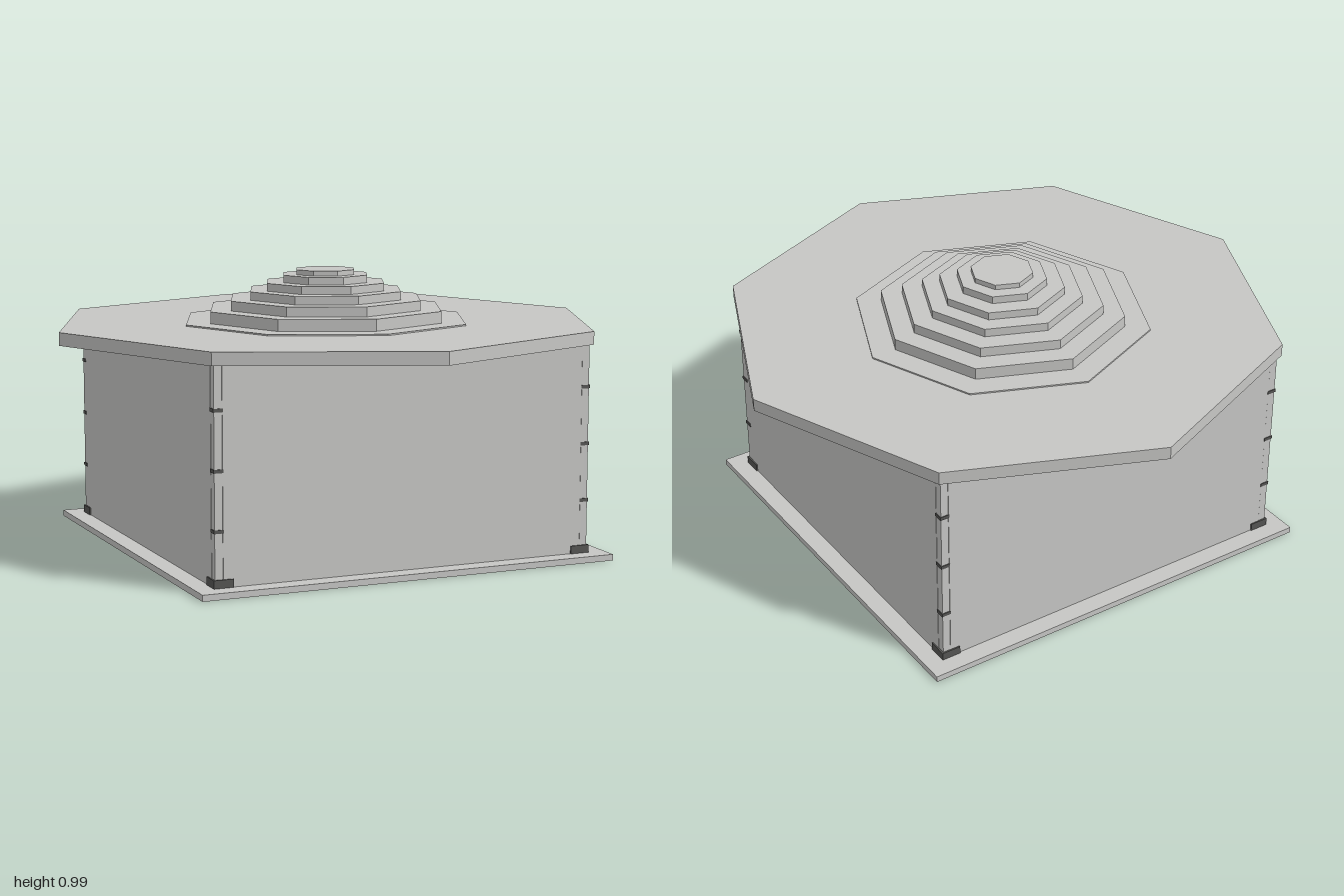
import * as THREE from 'three';

const stone = new THREE.MeshStandardMaterial({ color: 0xc6c6c4 });
stone.name = 'light grey';
stone.flatShading = true;
const iron = new THREE.MeshStandardMaterial({ color: 0x555553 });
iron.name = 'dark grey';

export function createModel() {
  const model = new THREE.Group();
  model.name = 'pavilion';

  const add = (parent, name, geometry, material, x, y, z) => {
    const mesh = new THREE.Mesh(geometry, material);
    mesh.name = name;
    mesh.position.set(x, y, z);
    parent.add(mesh);
    return mesh;
  };
  // box and octagonal slab given by their bottom and top heights
  const box = (parent, name, w, y0, y1, d, material, x = 0, z = 0) =>
    add(parent, name, new THREE.BoxGeometry(w, y1 - y0, d), material, x, (y0 + y1) / 2, z);
  const octagon = (name, radius, y0, y1) =>
    add(model, name, new THREE.CylinderGeometry(radius, radius, y1 - y0, 8), stone, 0, (y0 + y1) / 2, 0);

  // square base plate
  box(model, 'basePlate', 1.53, 0, 0.022, 1.53, stone);

  // walls, leaving a narrow notch at each corner
  box(model, 'sideWalls', 1.394, 0.022, 0.758, 1.334, stone);
  box(model, 'frontAndBackWalls', 1.334, 0.022, 0.758, 1.394, stone);

  // corner posts with clips and feet
  for (const sx of [-1, 1]) {
    for (const sz of [-1, 1]) {
      const corner = new THREE.Group();
      corner.name = 'corner';
      model.add(corner);
      box(corner, 'post', 0.028, 0.022, 0.758, 0.028, stone, sx * 0.682, sz * 0.682);
      for (const y of [0.21, 0.41, 0.61]) {
        box(corner, 'clip', 0.034, y - 0.006, y + 0.006, 0.034, iron, sx * 0.682, sz * 0.682);
      }
      box(corner, 'foot', 0.07, 0.022, 0.05, 0.07, iron, sx * 0.667, sz * 0.667);
    }
  }

  // octagonal roof slab and its stepped crown
  octagon('roof', 1, 0.757, 0.803);
  const steps = [[0.535, 0.808], [0.443, 0.85], [0.365, 0.885], [0.29, 0.915],
    [0.226, 0.943], [0.162, 0.97], [0.112, 0.988]];
  let bottom = 0.803;
  steps.forEach(([radius, top], i) => {
    octagon('roofStep' + (i + 1), radius, bottom, top);
    bottom = top;
  });

  return model;
}
